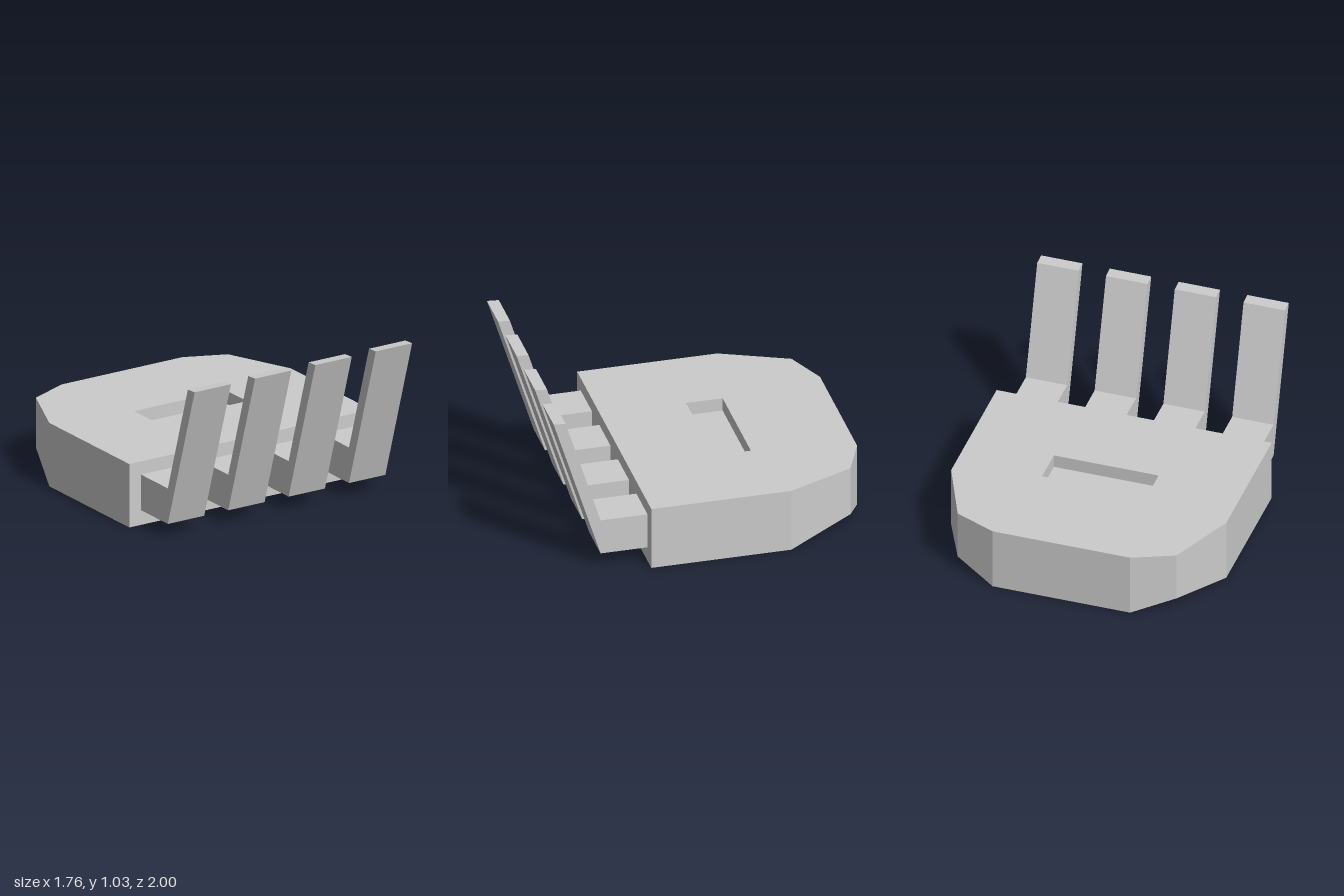
import * as THREE from 'three';

const material = new THREE.MeshStandardMaterial({ color: 0xcccccc, flatShading: true });
const H = 0.41, SLOT_Y = 0.325, LIFT = 0.09;

// Flat-shaded geometry from convex polygons, corners counter-clockwise seen from outside
function facets(polys) {
  const pos = [];
  for (const p of polys)
    for (let i = 1; i < p.length - 1; i++) pos.push(...p[0], ...p[i], ...p[i + 1]);
  const g = new THREE.BufferGeometry();
  g.setAttribute('position', new THREE.Float32BufferAttribute(pos, 3));
  g.computeVertexNormals();
  return g;
}

function add(group, name, geometry) {
  const mesh = new THREE.Mesh(geometry, material);
  mesh.name = name;
  group.add(mesh);
  return mesh;
}

export function createModel() {
  const model = new THREE.Group();
  model.name = 'model';
  const body = new THREE.Group();
  body.name = 'body';
  model.add(body);

  // Plan outline as [x, z, bottom height]; the two rear corners are lifted
  const outline = [
    [-0.88, 0.41, 0], [0.88, 0.41, 0], [0.88, -0.47, 0], [0.7, -0.89, LIFT],
    [0.44, -1, 0], [-0.44, -1, 0], [-0.7, -0.89, LIFT], [-0.88, -0.47, 0],
  ];
  const slot = [[-0.335, -0.13], [0.335, -0.13], [0.335, -0.36], [-0.335, -0.36]];

  // Top plate with slot opening
  const toV = ([x, z]) => new THREE.Vector2(x, -z);
  const top = new THREE.Shape(outline.map(toV));
  top.holes.push(new THREE.Path(slot.map(toV)));
  add(body, 'bodyTop', new THREE.ShapeGeometry(top).rotateX(-Math.PI / 2).translate(0, H, 0));

  // Side walls
  add(body, 'bodySides', facets(outline.map((a, i) => {
    const b = outline[(i + 1) % outline.length];
    return [[a[0], a[2], a[1]], [b[0], b[2], b[1]], [b[0], H, b[1]], [a[0], H, a[1]]];
  })));

  // Underside: two flat rectangles and bevelled rear corners
  const under = [[0.88, -0.47, 0.41], [0.44, -1, -0.47]].map(([x, z0, z1]) =>
    [[-x, 0, z1], [-x, 0, z0], [x, 0, z0], [x, 0, z1]]);
  for (const s of [1, -1]) {
    const inner = [s * 0.44, 0, -0.47], side = [s * 0.88, 0, -0.47];
    const raised = [s * 0.7, LIFT, -0.89], back = [s * 0.44, 0, -1];
    for (const t of [[inner, raised, side], [inner, back, raised]])
      under.push(s > 0 ? t : t.reverse());
  }
  add(body, 'bodyUnderside', facets(under));

  // Recessed slot: inward walls and floor
  const recess = slot.map((a, i) => {
    const b = slot[(i + 1) % 4];
    return [[b[0], SLOT_Y, b[1]], [a[0], SLOT_Y, a[1]], [a[0], H, a[1]], [b[0], H, b[1]]];
  });
  recess.push(slot.map(([x, z]) => [x, SLOT_Y, z]));
  add(body, 'slotRecess', facets(recess));

  // Four bent prongs, profile drawn as (z, y) and extruded across x
  const width = 0.265;
  const profile = new THREE.Shape([
    [0.41, 0.095], [0.705, 0.095], [1, 1.035], [0.925, 1.03], [0.705, 0.325], [0.41, 0.325],
  ].map(([z, y]) => new THREE.Vector2(z, y)));
  const prong = new THREE.ExtrudeGeometry(profile, { depth: width, bevelEnabled: false })
    .translate(0, 0, -width / 2).rotateY(-Math.PI / 2);
  for (let i = 0; i < 4; i++)
    add(model, 'prong' + (i + 1), prong).position.x = -0.662 + i * 0.44;

  return model;
}
